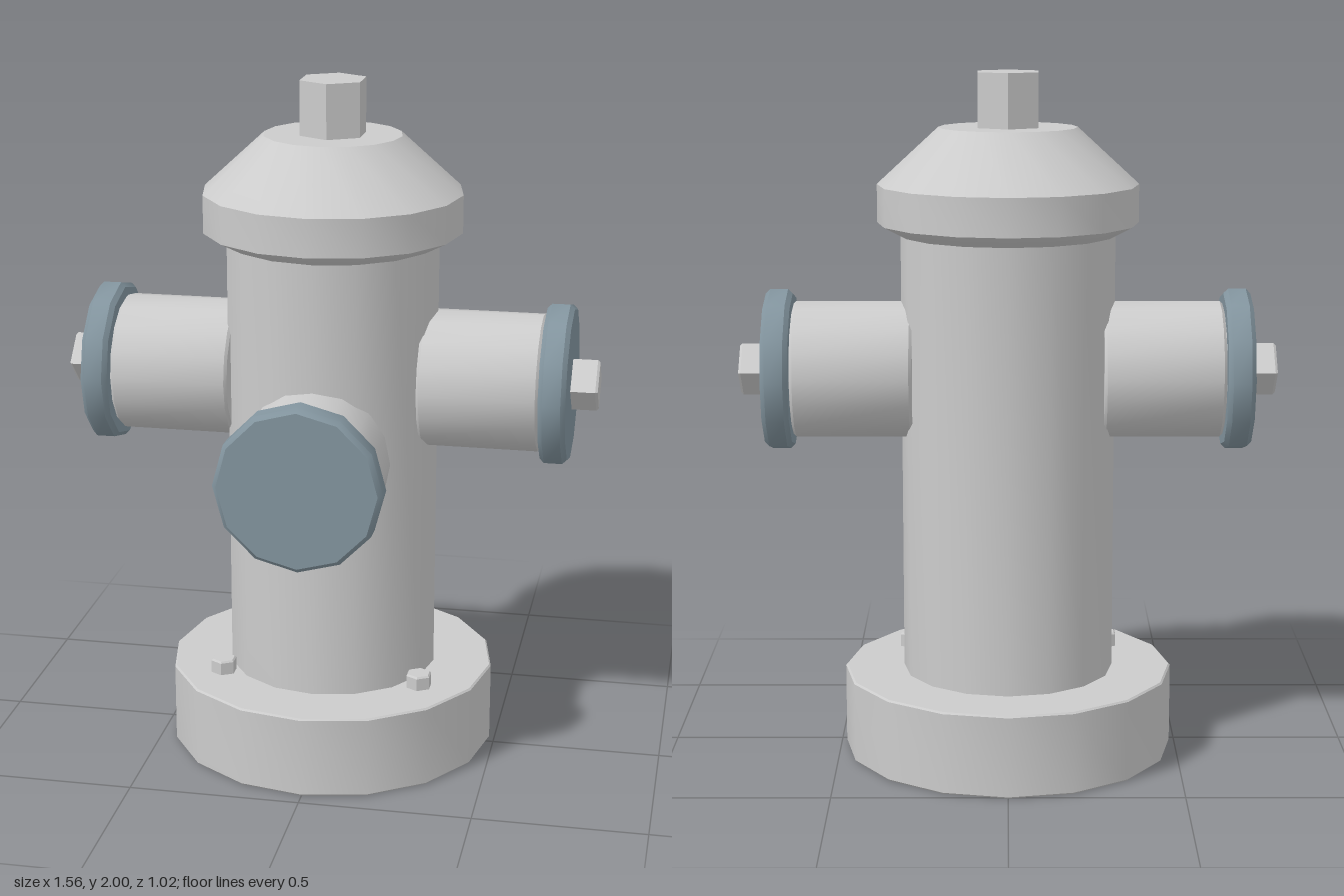
import * as THREE from 'three';
import { toCreasedNormals } from 'three/addons/utils/BufferGeometryUtils.js';

const grey = new THREE.MeshStandardMaterial({ color: 0xcccccc });
const capBlue = new THREE.MeshStandardMaterial({ color: 0x83959f });

// Turned solid from [radius, height] points, smooth around, sharp at its edges
function turned(name, points, sides, material = grey) {
  const profile = points.map(([r, y]) => new THREE.Vector2(r, y));
  const geometry = toCreasedNormals(new THREE.LatheGeometry(profile, sides), 0.6);
  const mesh = new THREE.Mesh(geometry, material);
  mesh.name = name;
  return mesh;
}

// Drum from y0 to y1 with bevelled rims
function drum(name, r, y0, y1, sides, bevel, material) {
  return turned(name, [
    [0, y0], [r - bevel, y0], [r, y0 + bevel],
    [r, y1 - bevel], [r - bevel, y1], [0, y1],
  ], sides, material);
}

// Outlet pipe with its cap, built along +y; the nut is optional
function outlet(name, { r, start, end, capR, capStart, capEnd, nutEnd }) {
  const group = new THREE.Group();
  group.name = name;
  group.add(drum('pipe', r, start, end, 16, 0.008));
  group.add(drum('pipeNeck', r - 0.02, end - 0.02, capStart + 0.02, 16, 0.004));
  group.add(drum('cap', capR, capStart, capEnd, 12, 0.013, capBlue));
  if (nutEnd) group.add(drum('capNut', 0.076, capEnd - 0.01, nutEnd, 4, 0.007));
  return group;
}

export function createModel() {
  const hydrant = new THREE.Group();
  hydrant.name = 'hydrant';

  // All parts are placed around the barrel's axis
  const body = new THREE.Group();
  body.name = 'body';
  body.position.z = -0.026;
  hydrant.add(body);

  body.add(drum('base', 0.485, 0, 0.243, 16, 0.005));
  body.add(turned('barrel', [[0, 0.23], [0.31, 0.23], [0.31, 1.55], [0, 1.55]], 16));
  body.add(turned('bonnet', [
    [0, 1.535], [0.31, 1.535], [0.377, 1.57], [0.377, 1.68], [0.2, 1.843], [0, 1.843],
  ], 16));
  body.add(turned('topNut', [[0, 1.83], [0.1, 1.83], [0.1, 2], [0, 2]], 6));

  // Side outlets and base bolts
  for (const [side, s] of [['left', 1], ['right', -1]]) {
    const pipe = outlet(side + 'Outlet', {
      r: 0.2, start: 0.275, end: 0.622, capR: 0.236, capStart: 0.624, capEnd: 0.702, nutEnd: 0.78,
    });
    pipe.rotation.z = -s * Math.PI / 2;
    pipe.position.y = 1.14;
    body.add(pipe);

    const bolt = drum(side + 'BaseBolt', 0.039, 0.235, 0.285, 6, 0.005);
    bolt.position.set(s * 0.295, 0, 0.193);
    body.add(bolt);
  }

  // Lower, wider front outlet
  const front = outlet('frontOutlet', {
    r: 0.215, start: 0.25, end: 0.455, capR: 0.24, capStart: 0.458, capEnd: 0.536,
  });
  front.rotation.x = Math.PI / 2;
  front.position.y = 0.95;
  body.add(front);

  return hydrant;
}
